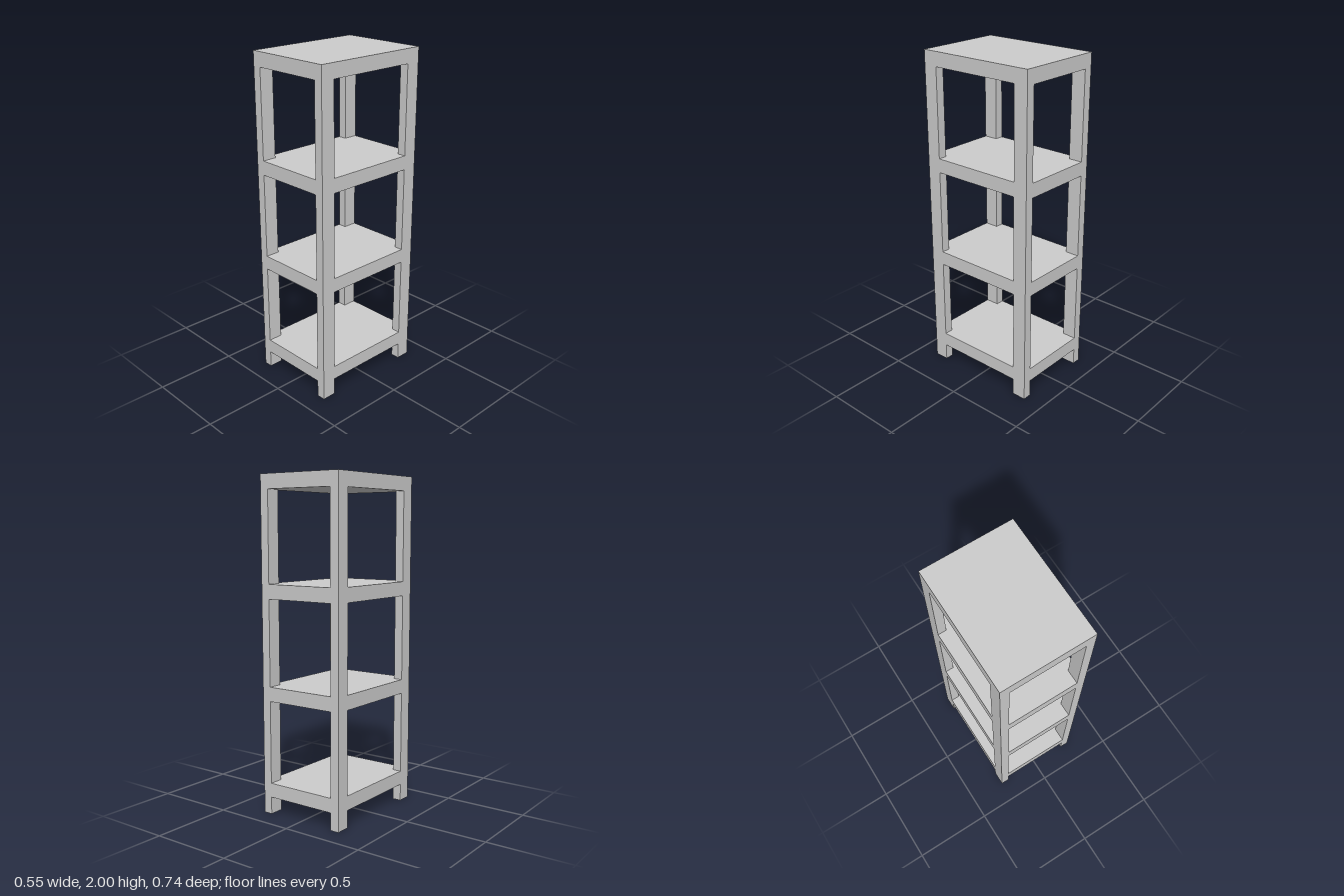
import * as THREE from 'three';

const HALF_W = 0.275, HALF_D = 0.372;   // outer half sizes in x and z
const POST_W = 0.054, POST_D = 0.088;   // post section
const THICK = 0.086;                    // shelf thickness
const TOP = 2;

export function createModel() {
  const group = new THREE.Group();
  const material = new THREE.MeshStandardMaterial({ color: 0xcccccc, flatShading: true });

  function add(name, geometry, x, y, z) {
    const mesh = new THREE.Mesh(geometry, material);
    mesh.name = name;
    mesh.position.set(x, y, z);
    group.add(mesh);
  }

  // Full slab resting on the four posts
  add('topShelf', new THREE.BoxGeometry(HALF_W * 2, THICK, HALF_D * 2), 0, TOP - THICK / 2, 0);

  // Corner posts, flush with the shelf edges
  const postHeight = TOP - THICK;
  const post = new THREE.BoxGeometry(POST_W, postHeight, POST_D);
  for (const [side, sx] of [['Left', 1], ['Right', -1]]) {
    for (const [end, sz] of [['front', 1], ['back', -1]]) {
      add(`${end}${side}Post`, post, sx * (HALF_W - POST_W / 2), postHeight / 2, sz * (HALF_D - POST_D / 2));
    }
  }

  // Lower shelves, notched at the corners to fit around the posts
  const ix = HALF_W - POST_W, iz = HALF_D - POST_D;
  const outline = new THREE.Shape([
    [ix, -HALF_D], [ix, -iz], [HALF_W, -iz], [HALF_W, iz], [ix, iz], [ix, HALF_D],
    [-ix, HALF_D], [-ix, iz], [-HALF_W, iz], [-HALF_W, -iz], [-ix, -iz], [-ix, -HALF_D],
  ].map(([x, z]) => new THREE.Vector2(x, z)));
  const shelf = new THREE.ExtrudeGeometry(outline, { depth: THICK, bevelEnabled: false });
  shelf.rotateX(-Math.PI / 2);
  [['lowerShelf', 0.104], ['middleShelf', 0.688], ['upperShelf', 1.29]]
    .forEach(([name, y]) => add(name, shelf, 0, y, 0));

  return group;
}
